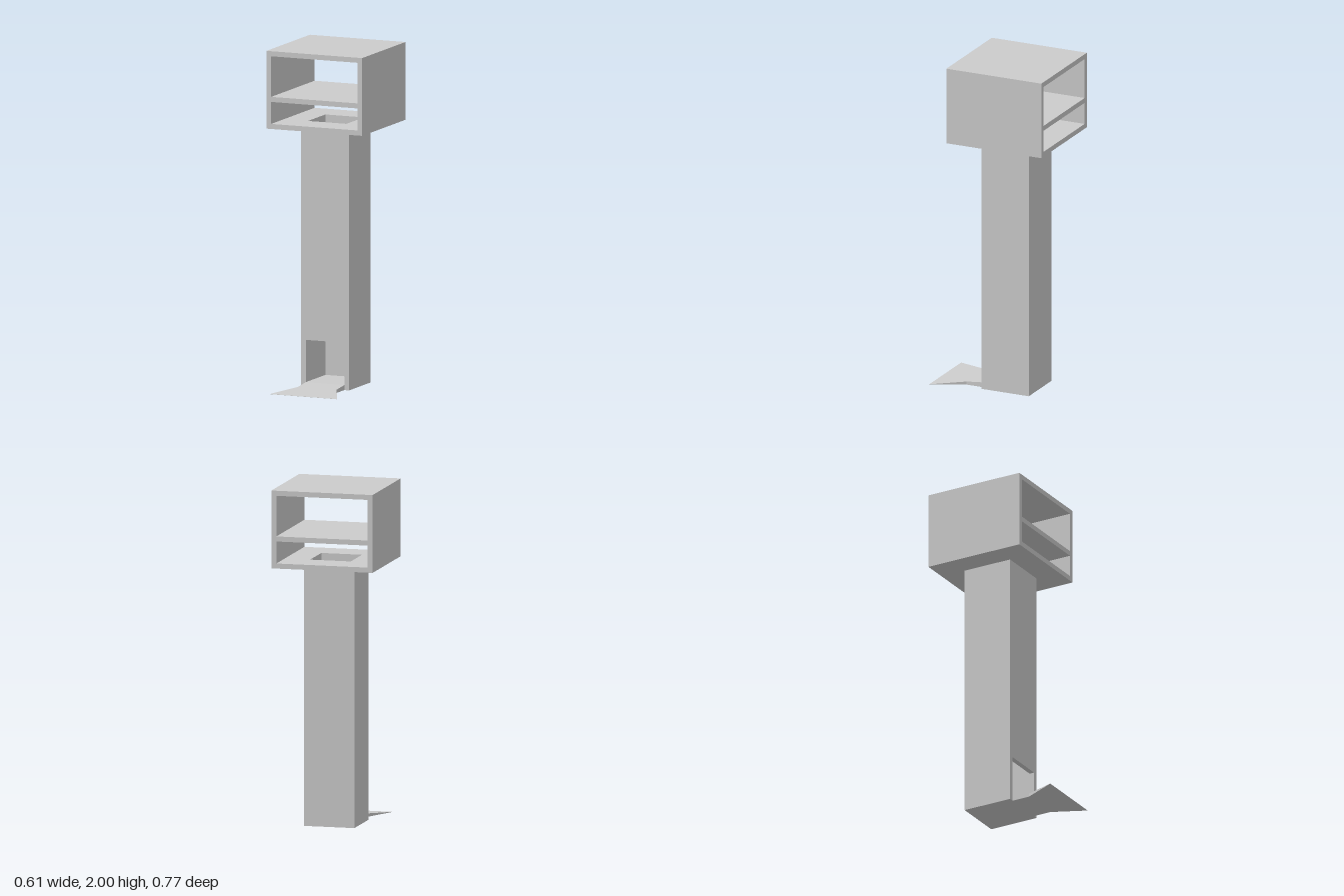
import * as THREE from 'three';

const material = new THREE.MeshStandardMaterial({ color: 0xcccccc, flatShading: true, side: THREE.DoubleSide });
const WALL = 0.03;
const HEAD = { x: 0.306, y0: 1.54, y1: 2, z0: -0.385, z1: 0.23 };
const COL = { x: 0.153, z0: -0.23, z1: 0.077 };
const inX = COL.x - WALL, inZ0 = COL.z0 + WALL, inZ1 = COL.z1 - WALL;

const shape = (pts) => new THREE.Shape(pts.map(([x, y]) => new THREE.Vector2(x, y)));
const rect = (x0, x1, y0, y1) => shape([[x0, y0], [x1, y0], [x1, y1], [x0, y1]]);
const extrude = (s, depth) => new THREE.ExtrudeGeometry(s, { depth, bevelEnabled: false });

// Extrudes a plan drawn as (x, -z) upwards from y0 to y1
const extrudeUp = (s, y0, y1) => extrude(s, y1 - y0).rotateX(-Math.PI / 2).translate(0, y0, 0);

function box(x0, x1, y0, y1, z0, z1) {
  return new THREE.BoxGeometry(x1 - x0, y1 - y0, z1 - z0)
    .translate((x0 + x1) / 2, (y0 + y1) / 2, (z0 + z1) / 2);
}

export function createModel() {
  const model = new THREE.Group();
  model.name = 'chuteTower';
  const add = (name, geometry) => {
    const mesh = new THREE.Mesh(geometry, material);
    mesh.name = name;
    model.add(mesh);
  };

  // Head: sides, roof and shelf, open at front and back
  const hx = HEAD.x - WALL;
  const frame = shape([
    [-HEAD.x, HEAD.y0], [-hx, HEAD.y0], [-hx, 1.7], [hx, 1.7],
    [hx, HEAD.y0], [HEAD.x, HEAD.y0], [HEAD.x, HEAD.y1], [-HEAD.x, HEAD.y1],
  ]);
  frame.holes.push(rect(-hx, hx, 1.73, HEAD.y1 - WALL));
  add('headFrame', extrude(frame, HEAD.z1 - HEAD.z0).translate(0, 0, HEAD.z0));

  // Head floor with the drop hole into the column
  const floor = rect(-hx, hx, -HEAD.z1, -HEAD.z0);
  floor.holes.push(rect(-inX, inX, -inZ1, -inZ0));
  add('headFloor', extrudeUp(floor, HEAD.y0, HEAD.y0 + WALL));

  // Hollow column: back and sides, then the front panel above the outlet
  const walls = shape([
    [-COL.x, -COL.z1], [-inX, -COL.z1], [-inX, -inZ0], [inX, -inZ0],
    [inX, -COL.z1], [COL.x, -COL.z1], [COL.x, -COL.z0], [-COL.x, -COL.z0],
  ]);
  add('columnWalls', extrudeUp(walls, 0, HEAD.y0));
  add('columnFront', box(-inX, inX, 0.28, HEAD.y0, inZ1, COL.z1));
  add('columnBase', box(-inX, inX, 0, WALL, inZ0, COL.z1));

  // Ramp: straight at the outlet, then flared, sloping down to the ground
  const tipZ = 0.385, tipX = 0.215, kinkZ = 0.186;
  const ramp = extrudeUp(shape([
    [-inX, -COL.z1], [-inX, -kinkZ], [-tipX, -tipZ],
    [tipX, -tipZ], [inX, -kinkZ], [inX, -COL.z1],
  ]), 0, WALL);
  const p = ramp.attributes.position;
  for (let i = 0; i < p.count; i++) {
    if (p.getY(i) > WALL / 2) {
      p.setY(i, Math.max(0.001, WALL * (tipZ - p.getZ(i)) / (tipZ - COL.z1)));
    }
  }
  ramp.computeVertexNormals();
  add('ramp', ramp);

  return model;
}
